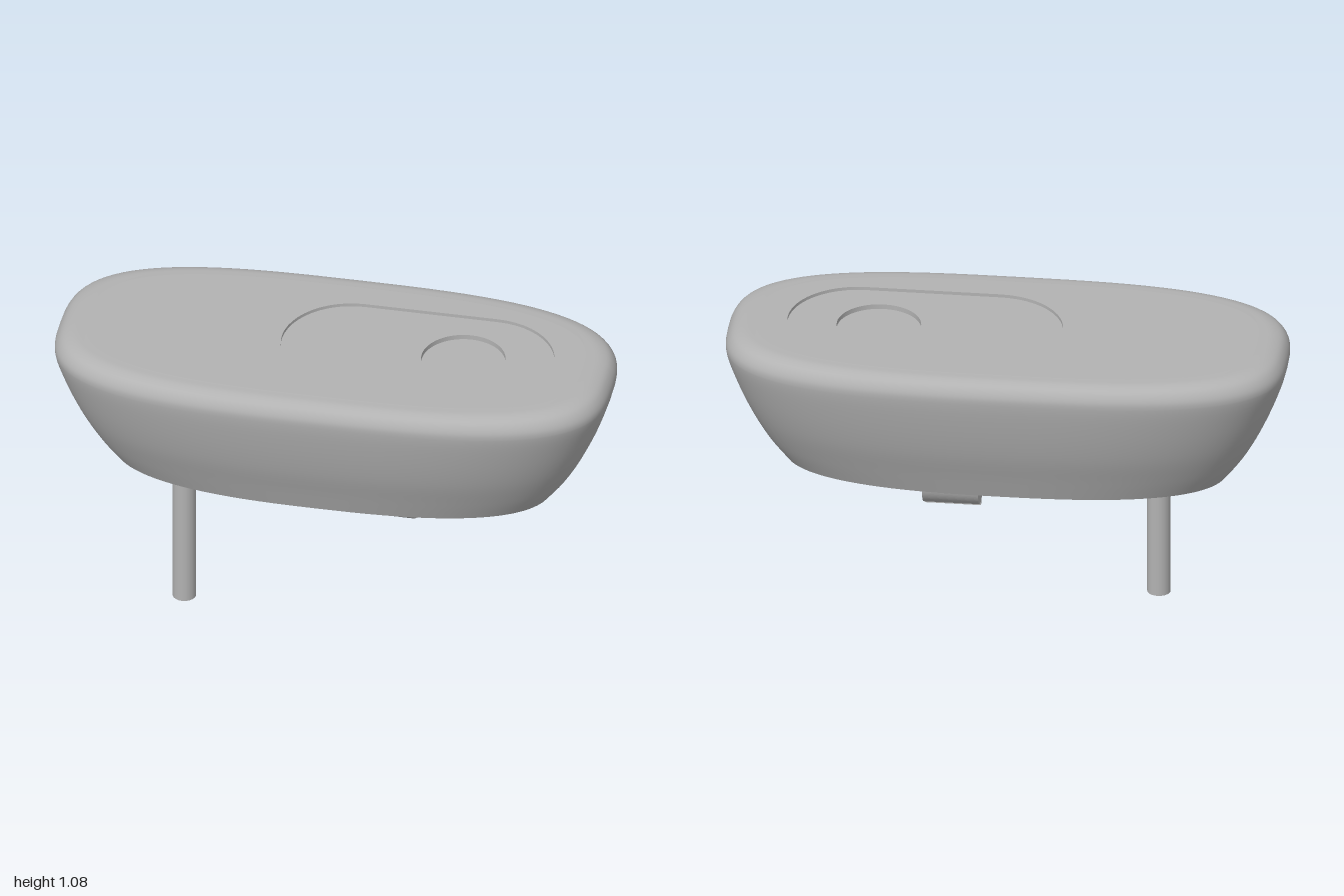
import * as THREE from 'three';

const V2 = (x, y) => new THREE.Vector2(x, y);

// Rounded-rectangle (superellipse) outline in x and z
function superellipse(a, b, n, count = 96) {
  return Array.from({ length: count }, (_, i) => {
    const t = (i / count) * Math.PI * 2, c = Math.cos(t), s = Math.sin(t);
    return V2(a * Math.sign(c) * Math.abs(c) ** (2 / n), b * Math.sign(s) * Math.abs(s) ** (2 / n));
  });
}

// Stadium outline; half = 0 gives a circle
function stadium(cx, half, r, count = 24) {
  const pts = [];
  for (const side of [1, -1])
    for (let i = 0; i < count + (half ? 1 : 0); i++) {
      const t = -Math.PI / 2 + (i / count) * Math.PI;
      pts.push(V2(cx + side * (half + r * Math.cos(t)), side * r * Math.sin(t)));
    }
  return pts;
}

// Skin through closed rings; rings going up face outwards, going down face inwards
function loft(rings) {
  const pos = [], idx = [], n = rings[0].pts.length;
  rings.forEach(({ pts, y }, j) => pts.forEach((p, i) => {
    pos.push(p.x, y, p.y);
    if (j + 1 < rings.length) {
      const a = j * n + i, b = j * n + (i + 1) % n;
      idx.push(a, a + n, b, b, a + n, b + n);
    }
  }));
  const g = new THREE.BufferGeometry();
  g.setAttribute('position', new THREE.Float32BufferAttribute(pos, 3));
  g.setIndex(idx);
  g.computeVertexNormals();
  return g;
}

// Flat horizontal face, optionally with a hole
function face(pts, y, hole, down = false) {
  const shape = new THREE.Shape(pts);
  if (hole) shape.holes.push(new THREE.Path(hole));
  return new THREE.ShapeGeometry(shape).rotateX(down ? Math.PI / 2 : -Math.PI / 2).translate(0, y, 0);
}

export function createModel() {
  const group = new THREE.Group();
  const grey = new THREE.MeshStandardMaterial({ color: 0xb2b2b2 });
  grey.name = 'grey';
  const add = (name, geometry, parent = group) => {
    const mesh = new THREE.Mesh(geometry, grey);
    mesh.name = name;
    parent.add(mesh);
    return mesh;
  };

  // Body: flaring bowl with a rounded rim (half width, height, half depth)
  const bodyGroup = new THREE.Group();
  bodyGroup.name = 'body';
  group.add(bodyGroup);
  const profile = new THREE.CatmullRomCurve3([
    [0.79, 0.568, 0.307], [0.85, 0.65, 0.338], [0.91, 0.76, 0.38], [0.965, 0.89, 0.416],
    [0.998, 1.0, 0.437], [0.995, 1.03, 0.436], [0.975, 1.06, 0.42], [0.94, 1.076, 0.39], [0.89, 1.08, 0.35],
  ].map(p => new THREE.Vector3(...p)), false, 'centripetal');
  const rings = profile.getPoints(40).map((p, i) => ({
    pts: superellipse(p.x, p.z, 2.6 + 0.4 * Math.min(1, i / 20)), y: p.y,
  }));
  add('bodyShell', loft(rings), bodyGroup);
  add('bodyBase', face(rings[0].pts, rings[0].y, null, true), bodyGroup);

  // Top with a shallow long recess and a round well inside it
  const top = 1.08, floor = 1.068, wellFloor = 1.05;
  const long = stadium(0.295, 0.24, 0.25), round = stadium(0.46, 0, 0.15);
  add('topFace', face(rings.at(-1).pts, top, long), bodyGroup);
  add('recessWall', loft([{ pts: long, y: top }, { pts: long, y: floor }]), bodyGroup);
  add('recessFloor', face(long, floor, round), bodyGroup);
  add('wellWall', loft([{ pts: round, y: floor }, { pts: round, y: wellFloor }]), bodyGroup);
  add('wellFloor', face(round, wellFloor), bodyGroup);

  // Rod underneath
  add('rod', new THREE.CylinderGeometry(0.042, 0.042, 0.57, 20)).position.set(-0.525, 0.285, 0.112);

  // Mounting lug with a cross hole and a small rib below
  const lug = new THREE.Group();
  lug.name = 'mountingLug';
  group.add(lug);
  const outline = new THREE.Shape();
  outline.moveTo(0.099, 0.57);
  outline.lineTo(-0.099, 0.57);
  outline.lineTo(-0.099, 0.48);
  outline.absarc(0, 0.48, 0.099, Math.PI, Math.PI * 2, false);
  outline.closePath();
  outline.holes.push(new THREE.Path().absarc(0, 0.48, 0.036, 0, Math.PI * 2, true));
  add('lugBlock', new THREE.ExtrudeGeometry(outline, { depth: 0.2, bevelEnabled: false, curveSegments: 24 })
    .rotateY(Math.PI / 2).translate(0.096, 0, 0), lug);
  add('lugRib', new THREE.BoxGeometry(0.2, 0.025, 0.014), lug).position.set(0.196, 0.38, 0);

  return group;
}
